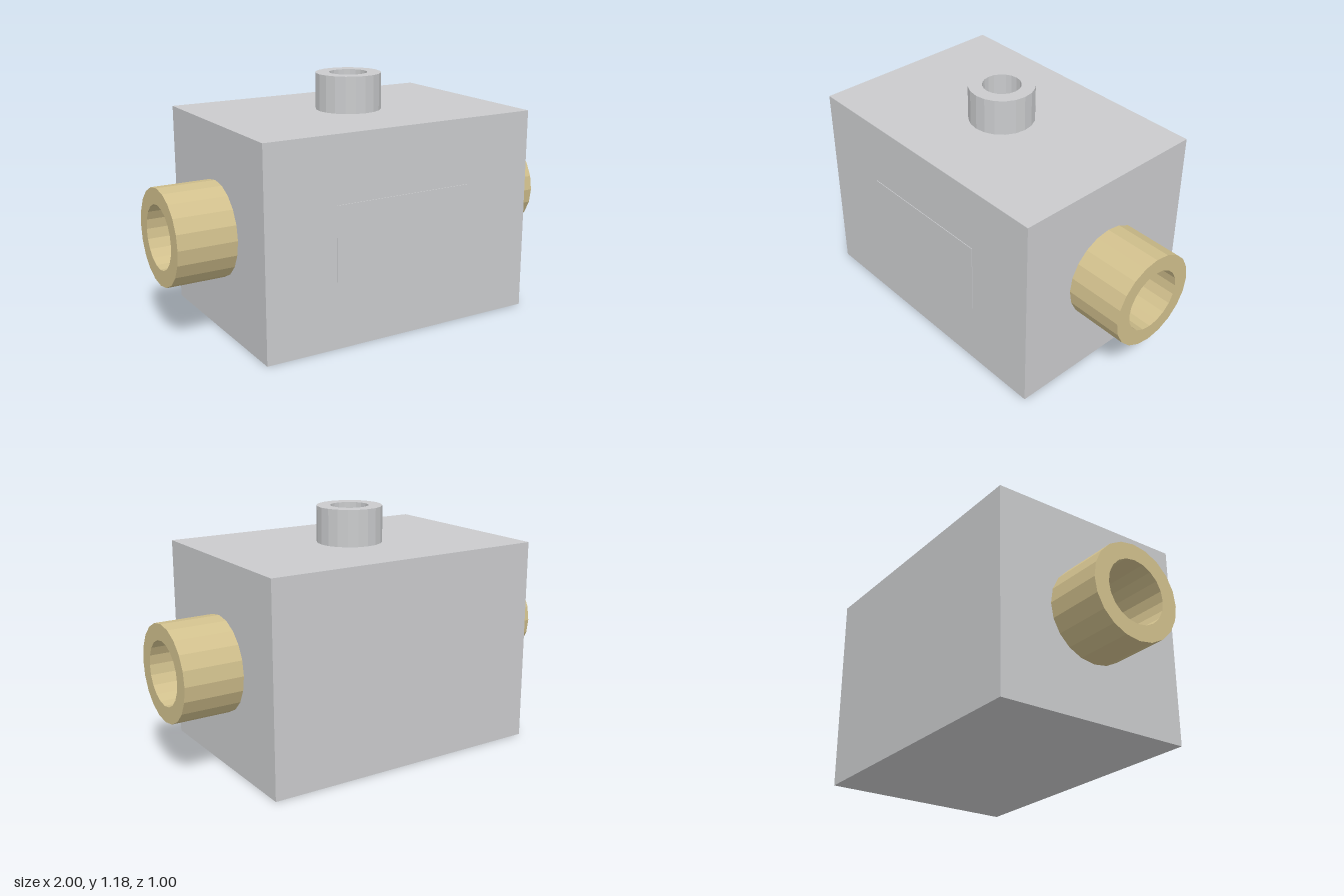
import * as THREE from 'three';

const SIDES = 20;

export function createModel() {
  const model = new THREE.Group();
  model.name = 'valveBlock';

  const grey = new THREE.MeshStandardMaterial({ color: 0xcacbcd });
  grey.name = 'grey metal';
  const brass = new THREE.MeshStandardMaterial({ color: 0xd1c08d });
  brass.name = 'brass';

  const add = (name, geometry, material) => {
    const mesh = new THREE.Mesh(geometry, material);
    mesh.name = name;
    model.add(mesh);
    return mesh;
  };

  // Faceted hollow port, pointing up, with a closed floor at its base
  const port = (outer, inner, length) => {
    const floor = 0.005;
    const profile = [[outer, 0], [outer, length], [inner, length], [inner, floor], [0, floor]]
      .map(([r, y]) => new THREE.Vector2(r, y));
    const geometry = new THREE.LatheGeometry(profile, SIDES).toNonIndexed();
    geometry.computeVertexNormals();
    return geometry;
  };

  // Main block
  add('body', new THREE.BoxGeometry(1.428, 1, 1), grey).position.y = 0.5;

  // Thin plate, barely proud of the front face
  add('frontPlate', new THREE.BoxGeometry(0.714, 0.357, 0.003), grey).position.set(0, 0.502, 0.5015);

  // Port on top
  add('topPort', port(0.16, 0.093, 0.178), grey).position.y = 1;

  // Mirrored side ports
  for (const side of [1, -1]) {
    const pipe = add(side > 0 ? 'leftPort' : 'rightPort', port(0.231, 0.153, 0.286), brass);
    pipe.rotation.z = -side * Math.PI / 2;
    pipe.position.set(side * 0.714, 0.502, 0);
  }

  return model;
}
